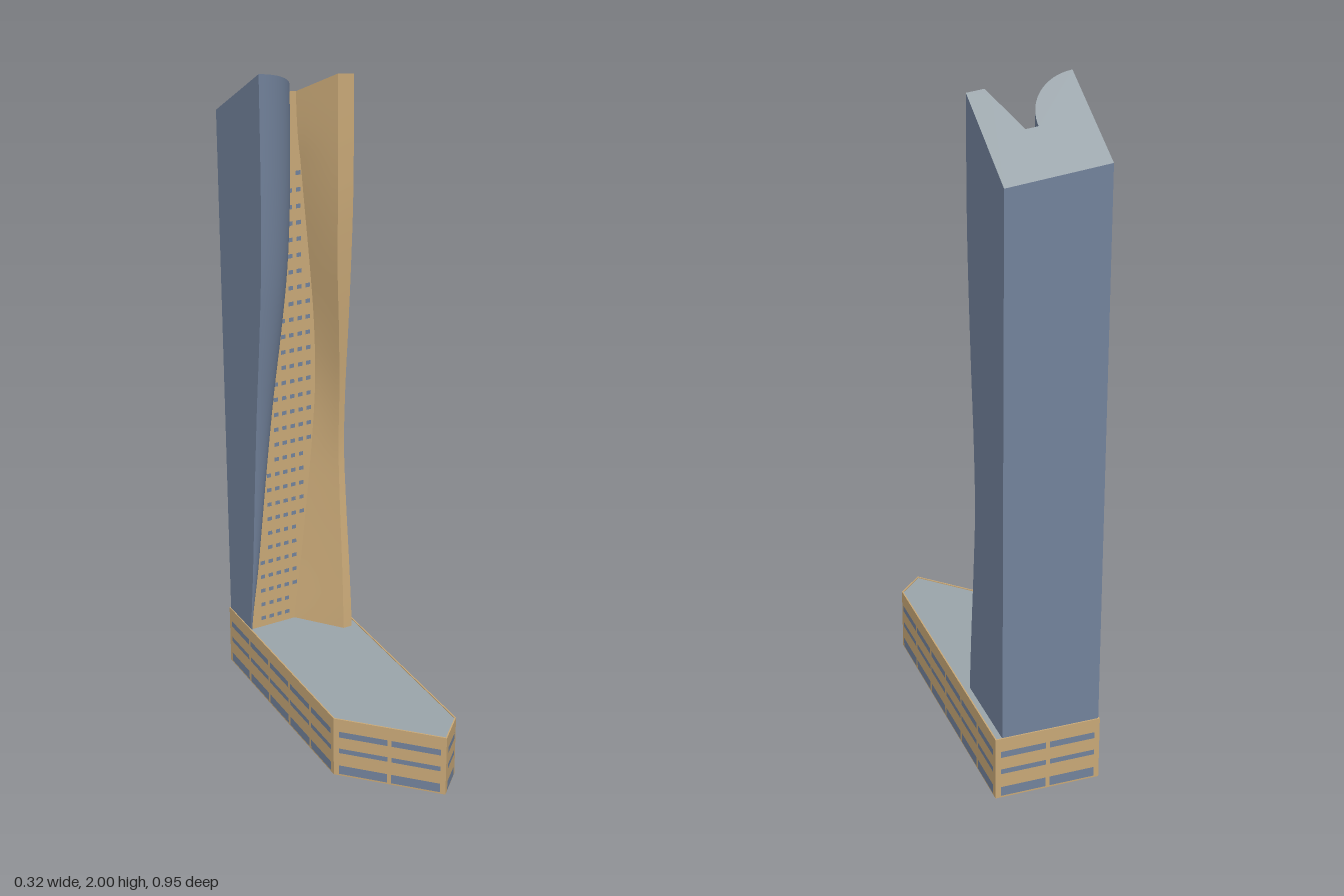
import * as THREE from 'three';
import { mergeGeometries } from 'three/addons/utils/BufferGeometryUtils.js';

function material(name, color) {
  const m = new THREE.MeshStandardMaterial({ color, side: THREE.DoubleSide });
  m.name = name;
  return m;
}

export function createModel() {
  const glass = material('blue glass', 0x72829b);
  const stone = material('sandstone', 0xc8a877);
  const roofing = material('grey roofing', 0x9aa4aa);

  const model = new THREE.Group();
  model.name = 'tower';
  const add = (parent, name, geometry, mat) => {
    const mesh = new THREE.Mesh(geometry, mat);
    mesh.name = name;
    parent.add(mesh);
    return mesh;
  };

  // Profile values at every 0.2 of height, joined by a smooth curve
  const profile = (values) => {
    const curve = new THREE.SplineCurve(values.map((v, i) => new THREE.Vector2(i * 0.2, v)));
    return (y) => curve.getPoint(Math.min(y / 2, 1)).y;
  };
  const lobeX = profile([-0.154, -0.15, -0.128, -0.109, -0.09, -0.069, -0.044, -0.023, -0.013, -0.01, -0.01]);
  const wingZ = profile([-0.19, -0.196, -0.212, -0.232, -0.247, -0.239, -0.221, -0.205, -0.193, -0.19, -0.19]);
  const wingX = profile([0.104, 0.106, 0.11, 0.113, 0.116, 0.115, 0.104, 0.091, 0.086, 0.085, 0.085]);
  const recessX = profile([-0.015, 0, 0.024, 0.046, 0.066, 0.079, 0.076, 0.062, 0.045, 0.03, 0.025]);
  const LEFT = -0.155, RIGHT = 0.135, BACK = -0.47, RECESS = -0.326;
  const lobeZ = (y) => RECESS + 0.136 * (lobeX(y) - LEFT) / 0.145;

  // Sloping plane of the tower roof
  const roofY = (x, z) => 2 - 0.12 * (x - LEFT) - 0.6 * (-0.19 - z);

  // Cross-section pieces: u runs 0..1 along each, counter-clockwise from above
  const lerp = THREE.MathUtils.lerp;
  const pieces = {
    leftSide: [1, glass, (u, y) => [LEFT, lerp(BACK, lobeZ(y), u)]],
    roundedLobe: [20, glass, (u, y) => {
      const a = u * Math.PI / 2;
      return [lerp(LEFT, lobeX(y), Math.sin(a)), lerp(RECESS, lobeZ(y), Math.cos(a))];
    }],
    recessWall: [1, stone, (u, y) => [lerp(lobeX(y), recessX(y), u), RECESS]],
    wingInnerSide: [6, stone, (u, y) => [lerp(recessX(y), wingX(y), u), lerp(RECESS, wingZ(y), u)]],
    wingFront: [1, stone, (u, y) => [lerp(wingX(y), RIGHT, u), wingZ(y)]],
    rightSide: [1, glass, (u, y) => [RIGHT, lerp(wingZ(y), BACK, u)]],
    backSide: [1, glass, (u) => [lerp(RIGHT, LEFT, u), BACK]],
  };

  // Loft one piece upward, stretching the last part to meet the sloping roof
  const loft = (steps, section) => {
    const g = new THREE.PlaneGeometry(1, 1, steps, 40);
    const p = g.attributes.position;
    for (let i = 0; i < p.count; i++) {
      const h = (p.getY(i) + 0.5) * 2;
      const [x, z] = section(p.getX(i) + 0.5, h);
      const y = h < 1.7 ? h : lerp(1.7, roofY(x, z), (h - 1.7) / 0.3);
      p.setXYZ(i, x, y, z);
    }
    g.computeVertexNormals();
    return g;
  };

  const shaft = new THREE.Group();
  shaft.name = 'shaft';
  model.add(shaft);
  const outline = [];
  for (const [name, [steps, mat, section]] of Object.entries(pieces)) {
    add(shaft, name, loft(steps, section), mat);
    for (let i = 0; i < steps; i++) {
      const [x, z] = section(i / steps, 2);
      outline.push(new THREE.Vector2(x, -z));
    }
  }

  // Flat polygon laid horizontally
  const slab = (points) => new THREE.ShapeGeometry(new THREE.Shape(points)).rotateX(-Math.PI / 2);
  const top = slab(outline);
  const tp = top.attributes.position;
  for (let i = 0; i < tp.count; i++) tp.setY(i, roofY(tp.getX(i), tp.getZ(i)));
  top.computeVertexNormals();
  add(shaft, 'shaftRoof', top, roofing);

  // Small windows filling the recess wall
  const dots = [];
  for (let y = 0.225; y < 1.76; y += 0.0495) {
    for (let x = -0.137; x < 0.08; x += 0.0275) {
      if (x - 0.012 < lobeX(y) || x + 0.01 > recessX(y)) continue;
      dots.push(new THREE.PlaneGeometry(0.015, 0.013).translate(x, y, RECESS + 0.0015));
    }
  }
  add(shaft, 'recessWindows', mergeGeometries(dots), glass);

  // Podium: five walls around a roof, open underneath
  const podium = new THREE.Group();
  podium.name = 'podium';
  model.add(podium);
  const corners = [[-0.158, 0.23], [0.08, 0.471], [0.157, 0.395], [0.157, -0.475], [-0.158, -0.475]];
  const panelCounts = [2, 1, 6, 2, 5];
  const rows = [[0.145, 0.02], [0.088, 0.016], [0.021, 0.03]];
  const H = 0.197, T = 0.004;
  add(podium, 'podiumRoof', slab(corners.map(([x, z]) => new THREE.Vector2(x * 0.99, -z * 0.995)))
    .translate(0, H - 0.003, 0), roofing);

  corners.forEach(([ax, az], i) => {
    const [bx, bz] = corners[(i + 1) % corners.length];
    const dx = bx - ax, dz = bz - az, length = Math.hypot(dx, dz);
    const side = new THREE.Group();
    side.name = 'podiumSide' + (i + 1);
    side.position.set((ax + bx) / 2, 0, (az + bz) / 2);
    side.rotation.y = Math.atan2(-dz, dx);
    podium.add(side);
    add(side, 'wall', new THREE.BoxGeometry(length, H, T).translate(0, H / 2, -T / 2), stone);
    const n = panelCounts[i], pitch = (length - 0.02) / n;
    const bands = [];
    for (let k = 0; k < n; k++) {
      for (const [y, h] of rows) {
        bands.push(new THREE.PlaneGeometry(pitch - 0.012, h)
          .translate((k - (n - 1) / 2) * pitch, y, 0.0012));
      }
    }
    add(side, 'windowBands', mergeGeometries(bands), glass);
  });

  return model;
}
